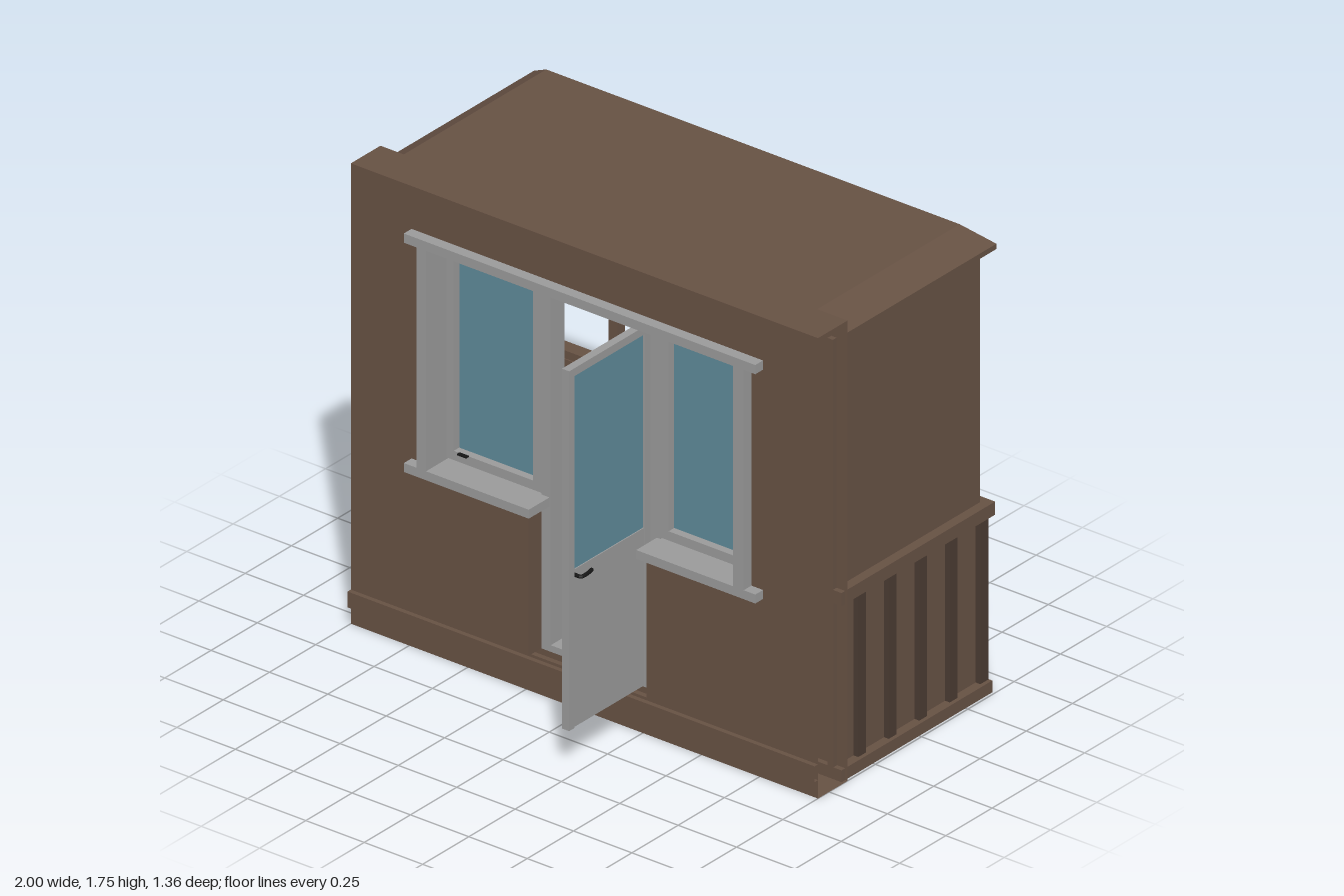
import * as THREE from 'three';
import { ConvexGeometry } from 'three/addons/geometries/ConvexGeometry.js';

const mat = (color) => new THREE.MeshStandardMaterial({ color, side: THREE.DoubleSide, flatShading: true });

export function createModel() {
  const model = new THREE.Group();
  const brown = mat(0x665143), darkBrown = mat(0x4a3b32), grey = mat(0x999999), blue = mat(0x5e8998), black = mat(0x151515);

  const group = (name) => {
    const g = new THREE.Group();
    g.name = name;
    model.add(g);
    return g;
  };
  const add = (parent, name, geometry, material) => {
    const m = new THREE.Mesh(geometry, material);
    m.name = name;
    parent.add(m);
    return m;
  };
  // Box given by its two extreme values on each axis
  const box = (parent, name, material, [x0, x1], [y0, y1], [z0, z1]) => {
    const m = add(parent, name, new THREE.BoxGeometry(x1 - x0, y1 - y0, z1 - z0), material);
    m.position.set((x0 + x1) / 2, (y0 + y1) / 2, (z0 + z1) / 2);
  };
  // Rectangular frame in the xy plane
  const frame = (parent, name, material, [x0, x1], [y0, y1], z, w) => {
    box(parent, name, material, [x0, x0 + w], [y0, y1], z);
    box(parent, name, material, [x1 - w, x1], [y0, y1], z);
    box(parent, name, material, [x0 + w, x1 - w], [y0, y0 + w], z);
    box(parent, name, material, [x0 + w, x1 - w], [y1 - w, y1], z);
  };

  // House wall: two skins, open at both ends, with a window and door opening
  const wall = group('houseWall');
  const outline = [[-1, 0], [1, 0], [1, 1.753], [-1, 1.753]];
  const opening = [[-0.24, 0.13], [0.265, 0.13], [0.265, 0.7], [0.7, 0.7], [0.7, 1.57], [-0.67, 1.57], [-0.67, 0.7], [-0.24, 0.7]];
  const points = (list) => list.map(([x, y]) => new THREE.Vector2(x, y));
  const skin = new THREE.Shape(points(outline));
  skin.holes.push(new THREE.Path(points(opening)));
  const skinGeometry = new THREE.ShapeGeometry(skin);
  add(wall, 'frontSkin', skinGeometry, brown).position.z = 0.31;
  add(wall, 'backSkin', skinGeometry, brown).position.z = 0.15;
  for (const y of [0, 1.753]) {
    const cap = add(wall, 'wallCap', new THREE.PlaneGeometry(2, 0.16), brown);
    cap.rotation.x = y ? -Math.PI / 2 : Math.PI / 2;
    cap.position.set(0, y, 0.23);
  }
  for (const x of [-0.24, 0.265]) {
    const reveal = add(wall, 'doorReveal', new THREE.PlaneGeometry(0.16, 0.57), brown);
    reveal.rotation.y = Math.PI / 2;
    reveal.position.set(x, 0.415, 0.23);
  }
  // Skirting strip, also open at its ends
  const skirting = add(wall, 'skirting', new THREE.PlaneGeometry(2, 0.06), brown);
  skirting.position.set(0, 0.1, 0.328);
  for (const y of [0.07, 0.13]) {
    const edge = add(wall, 'skirtingEdge', new THREE.PlaneGeometry(2, 0.018), brown);
    edge.rotation.x = -Math.PI / 2;
    edge.position.set(0, y, 0.319);
  }

  // Window and door unit, frames set back in the opening
  const unit = group('windowUnit');
  const depth = [0.13, 0.352], inner = [0.165, 0.24];
  box(unit, 'headBoard', grey, [-0.74, 0.765], [1.555, 1.59], depth);
  box(unit, 'leftSill', grey, [0.255, 0.765], [0.682, 0.716], depth);
  box(unit, 'rightSill', grey, [-0.74, -0.205], [0.682, 0.716], depth);
  box(unit, 'leftCasing', grey, [0.67, 0.715], [0.716, 1.555], depth);
  box(unit, 'rightCasing', grey, [-0.685, -0.645], [0.716, 1.555], depth);
  for (const [x0, x1] of [[-0.65, -0.24], [0.27, 0.675]]) {
    frame(unit, 'windowFrame', grey, [x0, x1], [0.722, 1.56], inner, 0.035);
    box(unit, 'windowPane', blue, [x0 + 0.03, x1 - 0.03], [0.75, 1.53], [0.2, 0.21]);
  }
  box(unit, 'rightDoorJamb', grey, [-0.24, -0.2], [0.13, 1.555], inner);
  box(unit, 'leftDoorJamb', grey, [0.2, 0.27], [0.13, 1.555], inner);
  box(unit, 'doorHead', grey, [-0.2, 0.2], [1.525, 1.555], inner);
  box(unit, 'threshold', grey, [-0.2, 0.2], [0.13, 0.155], inner);
  box(unit, 'windowHandle', black, [-0.59, -0.55], [0.755, 0.76], [0.24, 0.255]);

  // Door leaf, standing open at a right angle
  const door = group('door');
  const leaf = [0.197, 0.228];
  box(door, 'doorStile', grey, leaf, [0.155, 1.525], [0.65, 0.68]);
  box(door, 'doorStile', grey, leaf, [0.155, 1.525], [0.24, 0.27]);
  box(door, 'doorTopRail', grey, leaf, [1.495, 1.525], [0.27, 0.65]);
  box(door, 'doorPanel', grey, [0.202, 0.223], [0.155, 0.755], [0.27, 0.65]);
  box(door, 'doorPane', blue, [0.206, 0.219], [0.755, 1.495], [0.27, 0.65]);
  for (const s of [-1, 1]) {
    const path = new THREE.CatmullRomCurve3([[0.01, 0.645], [0.036, 0.643], [0.04, 0.62], [0.034, 0.58]]
      .map(([x, z]) => new THREE.Vector3(0.2125 + s * x, 0.735, z)));
    add(door, 'doorHandle', new THREE.TubeGeometry(path, 12, 0.007, 8), black);
  }

  // Balcony base and parapet with dark vertical battens
  const balcony = group('balcony');
  box(balcony, 'floorSlab', brown, [-0.99, 0.99], [0, 0.045], [-0.645, 0.17]);
  const yPanel = [0.045, 0.69], yBatten = [0.045, 0.672], yRail = [0.67, 0.72];
  box(balcony, 'backParapet', brown, [-0.955, 0.955], yPanel, [-0.625, -0.6]);
  box(balcony, 'backHandrail', brown, [-0.99, 0.99], yRail, [-0.66, -0.605]);
  for (const s of [-1, 1]) {
    const side = (a, b) => (s > 0 ? [a, b] : [-b, -a]);
    box(balcony, 'sideParapet', brown, side(0.93, 0.955), yPanel, [-0.6, 0.17]);
    box(balcony, 'sideHandrail', brown, side(0.935, 0.99), yRail, [-0.605, 0.17]);
    for (let i = 0; i < 5; i++) {
      const z = 0.04 - i * 0.165;
      box(balcony, 'sideBatten', darkBrown, side(0.955, 0.975), yBatten, [z - 0.021, z + 0.021]);
    }
  }
  for (let i = 0; i <= 13; i++) {
    const x = -0.954 + (i * 1.908) / 13;
    box(balcony, 'backBatten', darkBrown, [x - 0.021, x + 0.021], yBatten, [-0.643, -0.625]);
  }

  // Closed end and corner above the parapet, posts along the open part
  const upper = group('upperWalls');
  const yUpper = [0.69, 1.672];
  box(upper, 'sideScreen', brown, [0.93, 0.953], yUpper, [-0.625, 0.17]);
  box(upper, 'cornerScreen', brown, [0.575, 0.93], yUpper, [-0.625, -0.602]);
  for (const x of [0.21, -0.187, -0.575, -0.91]) {
    box(upper, 'post', brown, [x - 0.02, x + 0.02], yUpper, [-0.61, -0.57]);
  }

  // Roof slab with sloped edges on three sides
  const corners = [[-1, 0.98, -0.68, 1.67], [-1, 0.98, -0.68, 1.69], [-0.9, 0.87, -0.62, 1.753]]
    .flatMap(([x0, x1, z, y]) => [[x0, z], [x1, z], [x0, 0.15], [x1, 0.15]]
      .map(([x, zz]) => new THREE.Vector3(x, y, zz)));
  add(model, 'roof', new ConvexGeometry(corners), brown);

  return model;
}
